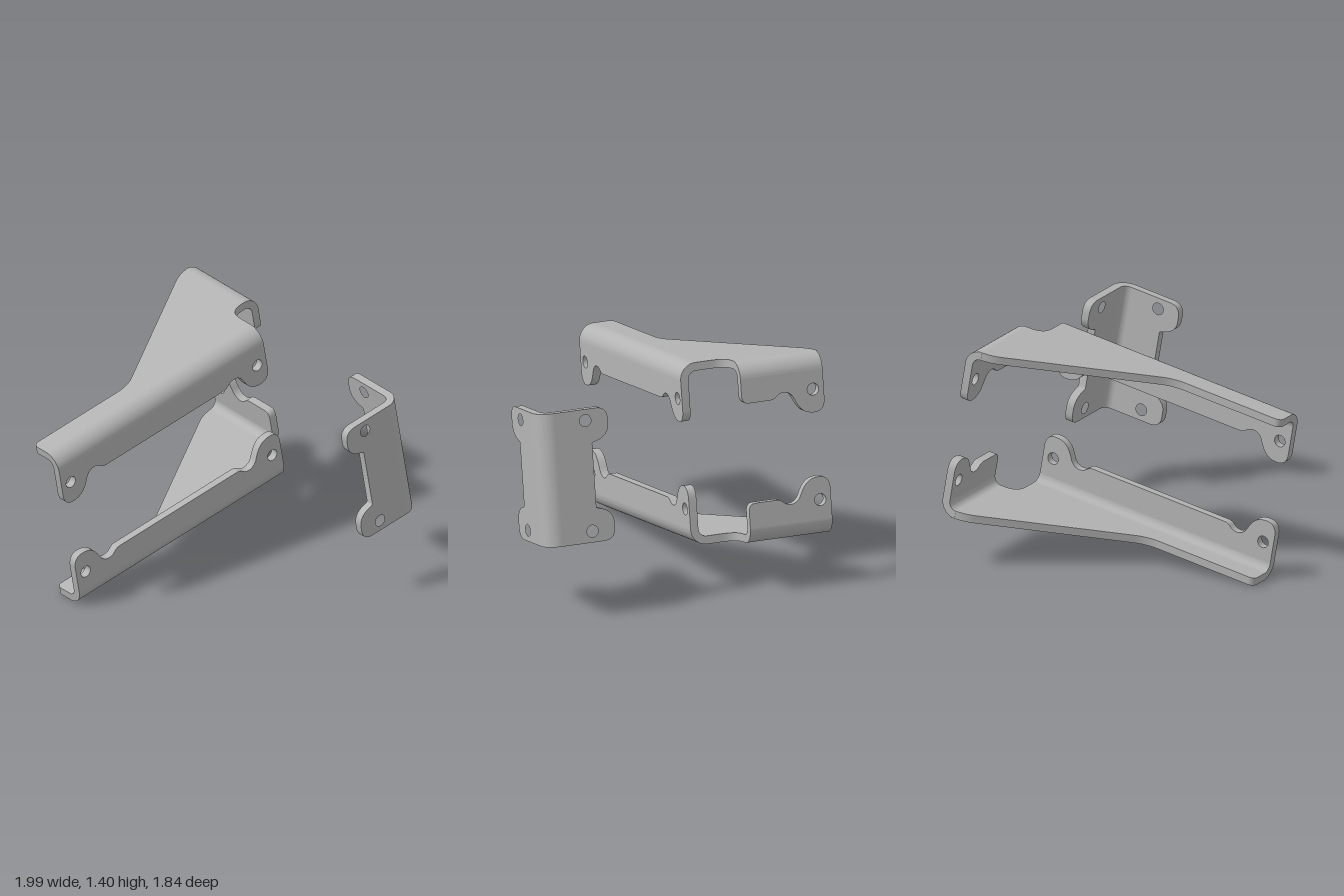
import * as THREE from 'three';
import { toCreasedNormals } from 'three/addons/utils/BufferGeometryUtils.js';

const T = 0.05;            // sheet thickness
const R = 0.1;             // outer bend radius
const MID = 0.699;         // mirror height of the set, before tilting
const TOP = 1.253;         // outer face of the upper plate
const U0 = -0.795, U1 = 0.835, SIDE = 1.05;              // along the length
const FRONT = -0.09, BACK = -0.92, RELIEF = -0.39;       // along the depth
const HOLE = 0.037;

const EX = new THREE.Vector3(1, 0, 0), EY = new THREE.Vector3(0, 1, 0), EZ = new THREE.Vector3(0, 0, 1);

export function createModel() {
  const steel = new THREE.MeshStandardMaterial({ color: 0xb4b4b4 });
  steel.name = 'grey steel';

  // Frame whose axes carry a shape's x, y and extrusion direction
  const frame = (a, b, c, x, y, z) => new THREE.Matrix4().makeBasis(a, b, c).setPosition(x, y, z);

  // Extrude a shape, move it into its frame and repair the winding of mirrored frames
  function sheet(name, shape, depth, matrix) {
    const geo = new THREE.ExtrudeGeometry(shape, { depth, bevelEnabled: false, curveSegments: 10 });
    geo.applyMatrix4(matrix);
    if (matrix.determinant() < 0) {
      const p = geo.attributes.position, v = new THREE.Vector3(), w = new THREE.Vector3();
      for (let i = 0; i < p.count; i += 3) {
        v.fromBufferAttribute(p, i + 1);
        w.fromBufferAttribute(p, i + 2);
        p.setXYZ(i + 1, w.x, w.y, w.z);
        p.setXYZ(i + 2, v.x, v.y, v.z);
      }
    }
    const mesh = new THREE.Mesh(toCreasedNormals(geo, 0.6), steel);
    mesh.name = name;
    return mesh;
  }

  // Closed outline of [x, y, corner size]
  function rounded(pts) {
    const shape = new THREE.Shape();
    pts.forEach(([x, y, d = 0], i) => {
      const c = new THREE.Vector2(x, y);
      const toward = (q) => new THREE.Vector2(q[0], q[1]).sub(c).setLength(d).add(c);
      const s = toward(pts[(i + pts.length - 1) % pts.length]);
      const e = toward(pts[(i + 1) % pts.length]);
      if (i === 0) shape.moveTo(s.x, s.y); else shape.lineTo(s.x, s.y);
      if (d) shape.quadraticCurveTo(c.x, c.y, e.x, e.y);
    });
    return shape;
  }

  function drill(shape, ...centres) {
    for (const [x, y] of centres) {
      const hole = new THREE.Path();
      hole.absarc(x, y, HOLE, 0, Math.PI * 2, true);
      shape.holes.push(hole);
    }
    return shape;
  }

  // Quarter ring section of a bend
  const bend = new THREE.Shape();
  bend.absarc(0, 0, R, 0, Math.PI / 2, false);
  bend.absarc(0, 0, R - T, Math.PI / 2, 0, true);

  // Edge of a mounting ear: x runs inward from the end of the flange
  const earPath = new THREE.Path();
  earPath.moveTo(0, TOP - R);
  earPath.lineTo(0, 0.965);
  earPath.quadraticCurveTo(0.005, 0.895, 0.07, 0.895);
  earPath.bezierCurveTo(0.135, 0.895, 0.165, 0.93, 0.19, 0.985);
  earPath.bezierCurveTo(0.21, 1.045, 0.27, 1.055, 0.305, 1.022);
  earPath.quadraticCurveTo(0.325, 1.003, 0.35, 1.003);
  const ear = earPath.getPoints(8);
  const earAt = (start, dir) => ear.map((p) => new THREE.Vector2(start + dir * p.x, p.y));

  // Long bracket: plate with a front flange and a side flange
  function longBracket(name, mirror) {
    const group = new THREE.Group();
    group.name = name;
    const add = (part, shape, depth, m) => group.add(sheet(part, shape, depth, m.premultiply(mirror)));

    const plate = rounded([
      [U0, FRONT - R], [U1, FRONT - R], [U1, RELIEF, 0.1], [SIDE - R, RELIEF],
      [SIDE - R, BACK], [0.896, BACK, 0.08], [-0.041, -0.31, 0.08], [U0, -0.31, 0.045],
    ]);
    add('plate', plate, T, frame(EX, EZ, EY, 0, TOP - T, 0));

    const front = drill(new THREE.Shape([...earAt(U0, 1), ...earAt(U1, -1).reverse()]),
      [U0 + 0.072, 1.036], [U1 - 0.072, 1.036]);
    add('frontFlange', front, T, frame(EX, EY, EZ, 0, 0, FRONT - T));
    add('frontBend', bend, U1 - U0, frame(EZ, EY, EX, U0, TOP - R, FRONT - R));

    const corner = [[0.04, 1.003], [0.022, 1.007], [0.008, 1.018], [0, 1.043], [0, TOP - R]]
      .map(([x, y]) => new THREE.Vector2(RELIEF - x, y));
    const side = drill(new THREE.Shape([...earAt(BACK, 1), ...corner]), [BACK + 0.07, 1.036]);
    add('sideFlange', side, T, frame(EZ, EY, EX, SIDE - T, 0, 0));
    add('sideBend', bend, RELIEF - BACK, frame(EX, EY, EZ, SIDE - R, TOP - R, BACK));
    return group;
  }

  // Corner bracket: two equal flanges, each with two ears, joined by one bend
  function cornerBracket() {
    const group = new THREE.Group();
    group.name = 'cornerBracket';
    const zOut = 0.92, top = 1.105, low = 2 * MID - top;
    const half = [[R, top], [0.443, top, 0.075], [0.443, 0.955, 0.045], [0.39, 0.914, 0.022], [0.333, 0.897, 0.008]];
    const flange = drill(
      rounded([...half, ...half.map(([x, y, d]) => [x, 2 * MID - y, d]).reverse()]),
      [0.298, 1.036], [0.298, 2 * MID - 1.036]);
    group.add(
      sheet('frontFlange', flange, T, frame(EX.clone().negate(), EY, EZ, SIDE, 0, zOut - T)),
      sheet('sideFlange', flange, T, frame(EZ.clone().negate(), EY, EX, SIDE - T, 0, zOut)),
      sheet('bend', bend, top - low, frame(EX, EZ, EY, SIDE - R, low, zOut - R)));
    return group;
  }

  const flip = new THREE.Matrix4().makeScale(1, -1, 1).setPosition(0, 2 * MID, 0);
  const model = new THREE.Group();
  model.name = 'bracketSet';
  model.add(
    longBracket('upperBracket', new THREE.Matrix4()),
    longBracket('lowerBracket', flip),
    cornerBracket());
  // The whole set leans ten degrees
  model.rotation.z = THREE.MathUtils.degToRad(10);

  const root = new THREE.Group();
  root.name = 'model';
  root.add(model);
  return root;
}
